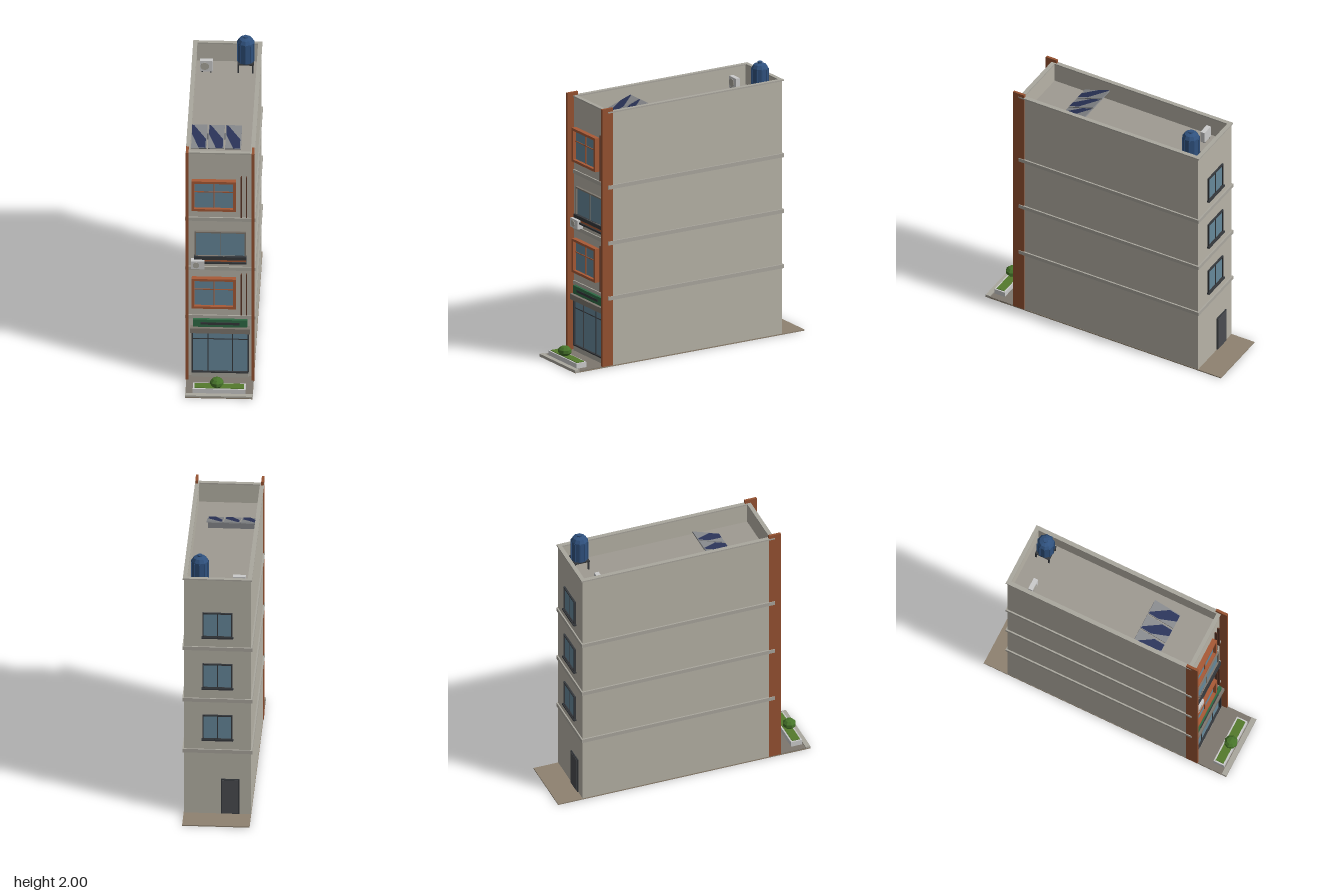
import * as THREE from 'three';

const mat = (color, extra = {}) => new THREE.MeshStandardMaterial({ color, flatShading: true, ...extra });
const M = {
  wall: mat(0xb7b3a7), trim: mat(0xaaa79e), roof: mat(0x9f9a92), brick: mat(0x965231), frame: mat(0xa85a36),
  glass: mat(0x66889a), dark: mat(0x35383c), slat: mat(0x5a3526), pale: mat(0xcccccc), stone: mat(0x7d776e),
  ground: mat(0x8f8270), green: mat(0x2f6b45), soil: mat(0x547a2c), bush: mat(0x47752a),
  tank: mat(0x30527f), navy: mat(0x2a3358, { side: THREE.DoubleSide }), panel: mat(0x85878a), door: mat(0x4a4c50),
};

// Box given by its extents on each axis
function box(parent, name, m, x0, x1, y0, y1, z0, z1) {
  const mesh = new THREE.Mesh(new THREE.BoxGeometry(x1 - x0, y1 - y0, z1 - z0), m);
  mesh.position.set((x0 + x1) / 2, (y0 + y1) / 2, (z0 + z1) / 2);
  mesh.name = name;
  parent.add(mesh);
  return mesh;
}

function group(parent, name) {
  const g = new THREE.Group();
  g.name = name;
  parent.add(g);
  return g;
}

// Rectangular frame with glass and bars, standing out from a wall at z towards +z
function windowUnit(parent, name, m, [x0, x1, y0, y1], z, depth, t, bars, transoms) {
  const g = group(parent, name);
  box(g, 'glass', M.glass, x0 + t, x1 - t, y0 + t, y1 - t, z - 0.005, z + depth * 0.35);
  box(g, 'jamb', m, x0, x0 + t, y0, y1, z - 0.005, z + depth);
  box(g, 'jamb', m, x1 - t, x1, y0, y1, z - 0.005, z + depth);
  box(g, 'head', m, x0 + t, x1 - t, y1 - t, y1, z - 0.005, z + depth);
  box(g, 'bottomRail', m, x0 + t, x1 - t, y0, y0 + t, z - 0.005, z + depth);
  for (const x of bars) box(g, 'mullion', m, x - 0.003, x + 0.003, y0 + t, y1 - t, z, z + depth * 0.55);
  for (const y of transoms) box(g, 'transom', m, x0 + t, x1 - t, y - 0.003, y + 0.003, z, z + depth * 0.5);
  return g;
}

// Horizontal ring around the building
function ring(parent, name, m, hx, zb, zf, y0, y1, t) {
  const g = group(parent, name);
  for (const s of [-1, 1]) box(g, 'side', m, Math.min(s * hx, s * (hx - t)), Math.max(s * hx, s * (hx - t)), y0, y1, zb, zf);
  box(g, 'back', m, -hx + t, hx - t, y0, y1, zb, zb + t);
  box(g, 'front', m, -hx + t, hx - t, y0, y1, zf - t, zf);
}

function outdoorUnit(parent, name, x0, x1, y0, y1, z0, z1) {
  const g = group(parent, name);
  box(g, 'casing', M.pale, x0, x1, y0, y1, z0, z1);
  const r = (y1 - y0) * 0.36;
  const fan = new THREE.Mesh(new THREE.CylinderGeometry(r, r, 0.004, 10), M.trim);
  fan.rotation.x = Math.PI / 2;
  fan.position.set(x0 + (x1 - x0) * 0.38, (y0 + y1) / 2, z1 + 0.001);
  fan.name = 'fan';
  g.add(fan);
}

export function createModel() {
  const root = new THREE.Group();
  root.name = 'townhouse';
  const zF = 0.67, zB = -0.765, hx = 0.235, roofY = 1.725, topY = 1.875;

  // Site
  box(root, 'ground', M.ground, -0.237, 0.237, 0, 0.008, -0.95, 0.95);
  box(root, 'pavement', M.stone, -0.236, 0.236, 0.006, 0.012, 0.66, 0.92);
  box(root, 'kerb', M.trim, -0.237, 0.237, 0, 0.02, 0.915, 0.95);

  // Body, parapet, coping and floor bands
  box(root, 'body', M.wall, -hx, hx, 0.004, roofY - 0.004, zB, zF);
  box(root, 'roofDeck', M.roof, -hx + 0.002, hx - 0.002, roofY - 0.004, roofY, zB + 0.002, zF - 0.002);
  ring(root, 'parapet', M.wall, hx, zB, zF, roofY - 0.004, topY - 0.01, 0.02);
  ring(root, 'coping', M.trim, 0.243, zB - 0.01, zF + 0.01, topY - 0.01, topY, 0.03);
  for (const y of [0.505, 0.91, 1.32]) ring(root, 'floorBand', M.trim, 0.246, zB - 0.01, zF + 0.01, y - 0.014, y + 0.014, 0.03);

  // Brick piers at the front corners
  for (const s of [-1, 1]) {
    const pier = box(root, 'brickPier', M.brick, -0.009, 0.009, 0.01, 1.9, 0.638, 0.727);
    pier.position.x = s * 0.2315;
  }

  // Shop front
  box(root, 'shopBase', M.trim, -0.2, 0.2, 0.01, 0.05, zF - 0.01, zF + 0.02);
  windowUnit(root, 'shopFront', M.dark, [-0.2, 0.2, 0.05, 0.39], zF, 0.025, 0.009, [-0.085, 0.085], [0.325]);
  box(root, 'canopy', M.stone, -0.21, 0.21, 0.39, 0.43, zF - 0.01, 0.715);
  box(root, 'signBoard', M.green, -0.19, 0.19, 0.435, 0.495, zF - 0.01, 0.7);
  box(root, 'signStrip', M.dark, -0.137, 0.137, 0.456, 0.474, 0.69, 0.704);

  // Brick-framed windows with upright slats beside them
  for (const y of [0.59, 1.403]) {
    windowUnit(root, 'framedWindow', M.frame, [-0.2, 0.11, y, y + 0.247], zF, 0.036, 0.018, [-0.045], [y + 0.15]);
    for (const x of [0.148, 0.185]) box(root, 'slat', M.slat, x - 0.004, x + 0.004, y - 0.06, y + 0.277, zF - 0.005, 0.69);
  }

  // Wide window with a layered ledge
  windowUnit(root, 'wideWindow', M.stone, [-0.18, 0.18, 1.01, 1.22], zF, 0.018, 0.01, [0], []);
  box(root, 'ledgeTop', M.dark, -0.185, 0.185, 0.995, 1.02, zF - 0.01, 0.7);
  box(root, 'ledgeMiddle', M.frame, -0.18, 0.18, 0.975, 0.995, zF - 0.01, 0.69);
  box(root, 'ledgeBottom', M.dark, -0.185, 0.185, 0.962, 0.975, zF - 0.01, 0.7);
  outdoorUnit(root, 'facadeCoolingUnit', -0.205, -0.11, 0.925, 0.99, zF, 0.715);

  // Rear windows and door, built facing +z and turned round
  const rear = group(root, 'rearOpenings');
  rear.rotation.y = Math.PI;
  for (const y of [0.6, 1.007, 1.413]) {
    windowUnit(rear, 'rearWindow', M.dark, [-0.105, 0.105, y, y + 0.193], -zB, 0.013, 0.009, [0], []);
    box(rear, 'rearSill', M.dark, -0.112, 0.112, y - 0.008, y + 0.004, -zB - 0.005, 0.785);
  }
  box(rear, 'rearDoorFrame', M.dark, 0.025, 0.155, 0.012, 0.285, -zB - 0.005, -zB + 0.008);
  box(rear, 'rearDoor', M.door, 0.033, 0.147, 0.015, 0.277, -zB, -zB + 0.011);

  // Water tank on a stand
  const tank = group(root, 'waterTank');
  tank.position.set(0.13, 0, -0.647);
  for (const x of [-0.05, 0.05]) for (const z of [-0.05, 0.05])
    box(tank, 'standLeg', M.dark, x - 0.005, x + 0.005, roofY, 1.79, z - 0.005, z + 0.005);
  box(tank, 'standTop', M.dark, -0.057, 0.057, 1.79, 1.8, -0.057, 0.057);
  const profile = [[0, 1.8], [0.06, 1.8], [0.06, 1.955], [0.045, 1.98], [0.018, 1.99], [0.018, 2], [0, 2]]
    .map(([r, y]) => new THREE.Vector2(r, y));
  const shell = new THREE.Mesh(new THREE.LatheGeometry(profile, 10), M.tank);
  shell.name = 'tankShell';
  tank.add(shell);
  for (let i = 0; i < 10; i++) {
    const a = (i / 10) * Math.PI * 2;
    const rib = box(tank, 'tankRib', M.tank, -0.004, 0.004, 1.805, 1.95, -0.004, 0.004);
    rib.position.x = Math.sin(a) * 0.06;
    rib.position.z = Math.cos(a) * 0.06;
    rib.rotation.y = a;
  }

  // Rooftop cooling unit
  outdoorUnit(root, 'roofCoolingUnit', -0.19, -0.1, 1.735, 1.82, -0.625, -0.592);
  for (const x of [-0.18, -0.12]) box(root, 'unitFoot', M.dark, x, x + 0.01, roofY, 1.735, -0.622, -0.595);

  // Sloping solar panels, each with a diagonal band of dark cells
  const solar = group(root, 'solarPanels');
  solar.position.set(-0.041, 1.768, 0.306);
  solar.rotation.x = 0.33;
  const band = new THREE.Shape([[-0.052, 0.103], [-0.038, 0.098], [0.048, -0.022], [0.048, -0.103], [0, -0.103], [-0.052, 0.02]]
    .map(([x, y]) => new THREE.Vector2(x, y)));
  for (const x of [-0.121, 0, 0.121]) {
    box(solar, 'panelFrame', M.panel, x - 0.056, x + 0.056, -0.004, 0.004, -0.105, 0.105);
    const cells = new THREE.Mesh(new THREE.ShapeGeometry(band), M.navy);
    cells.name = 'panelCells';
    cells.rotation.x = -Math.PI / 2;
    cells.position.set(x, 0.006, 0);
    solar.add(cells);
  }
  box(root, 'panelRail', M.panel, -0.21, 0.128, roofY, 1.775, 0.265, 0.272);

  // Planter and bush
  const planter = group(root, 'planter');
  box(planter, 'planterBox', M.pale, -0.185, 0.185, 0.01, 0.05, 0.825, 0.908);
  box(planter, 'planting', M.soil, -0.174, 0.174, 0.045, 0.054, 0.836, 0.897);
  const bush = new THREE.Mesh(new THREE.SphereGeometry(0.05, 8, 5), M.bush);
  bush.scale.y = 0.75;
  bush.position.set(-0.016, 0.088, 0.878);
  bush.name = 'bush';
  planter.add(bush);

  return root;
}
